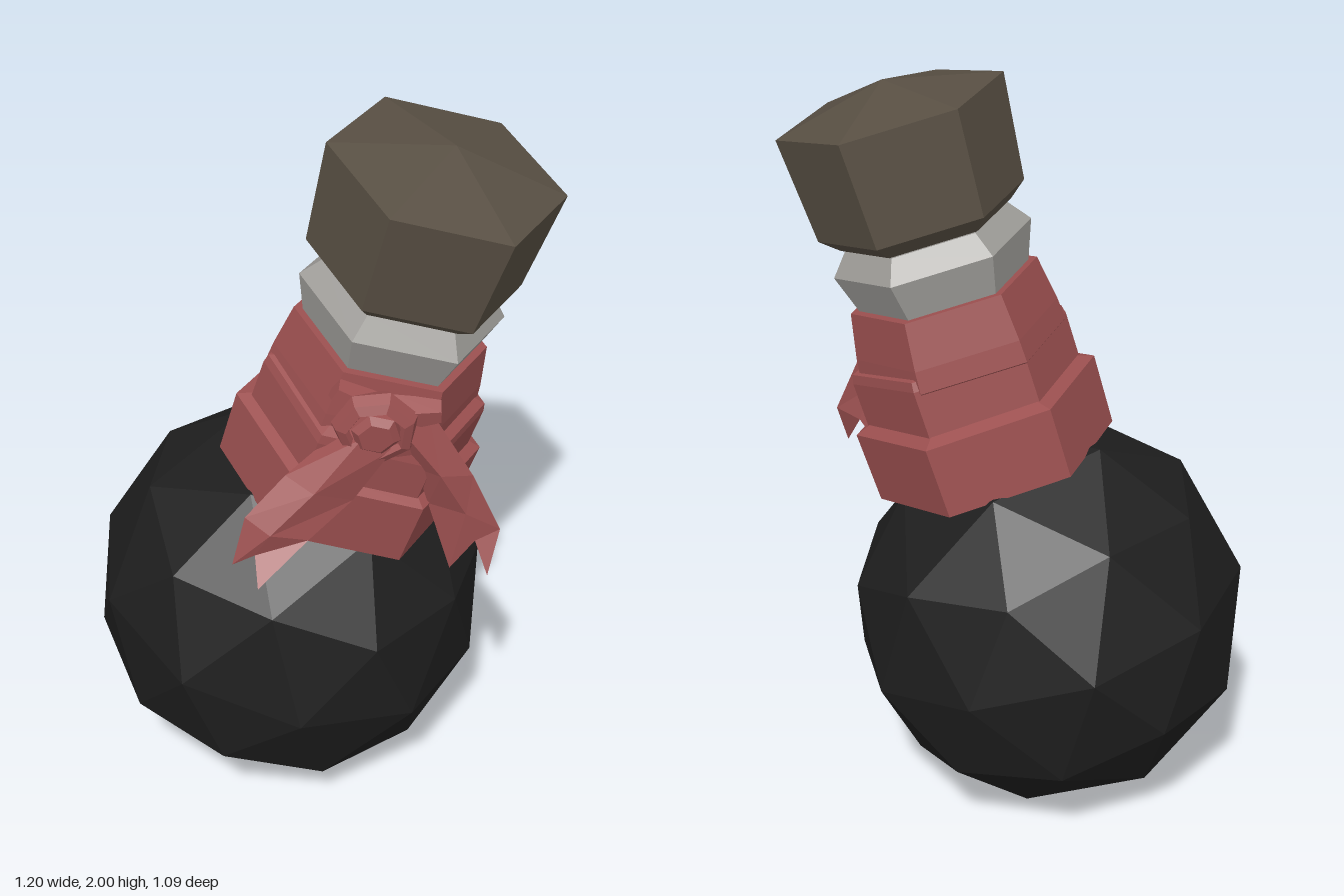
import * as THREE from 'three';

const flat = (name, color, side = THREE.FrontSide) => {
  const m = new THREE.MeshStandardMaterial({ color, flatShading: true, side });
  m.name = name;
  return m;
};

export function createModel() {
  const model = new THREE.Group();
  model.name = 'tiltedFlask';
  const black = flat('black', 0x1e1e1e);
  const red = flat('dusty red', 0x9c5050, THREE.DoubleSide);
  const glass = flat('grey glass', 0xa09e9a);
  const cork = flat('dark cork', 0x584f43);

  const up = new THREE.Vector3(0, 1, 0);
  const axis = new THREE.Vector3(0.27, 0.96, -0.04).normalize();
  const tilt = new THREE.Quaternion().setFromUnitVectors(up, axis);

  const add = (parent, name, geometry, material) => {
    const mesh = new THREE.Mesh(geometry, material);
    mesh.name = name;
    parent.add(mesh);
    return mesh;
  };
  // Turned part from [radius, height] pairs, listed bottom to top
  const turned = (points, sides = 6, start = THREE.MathUtils.degToRad(2)) =>
    new THREE.LatheGeometry(points.map(p => new THREE.Vector2(...p)), sides, start);

  // Faceted round body, one of its corners lying on the neck's axis
  const corner = new THREE.Vector3(1, (1 + Math.sqrt(5)) / 2, 0).normalize();
  const ball = new THREE.IcosahedronGeometry(0.543, 1);
  ball.applyQuaternion(new THREE.Quaternion().setFromUnitVectors(corner, up));
  const body = add(model, 'body', ball, black);
  body.quaternion.copy(tilt);
  body.position.set(-0.075, 0.523, 0);

  // Hexagonal neck, leaning with the tilt
  const neck = new THREE.Group();
  neck.name = 'neck';
  neck.position.set(0.078, 0.96, -0.015);
  neck.quaternion.copy(tilt);
  model.add(neck);

  add(neck, 'glassLip', turned([[0, 0.46], [0.22, 0.46], [0.23, 0.5], [0.268, 0.61],
    [0.22, 0.67], [0.22, 0.7], [0, 0.7]]), glass);
  add(neck, 'cork', turned([[0, 0.675], [0.23, 0.675], [0.278, 0.715], [0.302, 1.0], [0, 1.07]]), cork);

  // Cloth wound round the neck in three overlapping, slightly skewed bands
  const bands = [
    [[[0.22, -0.01], [0.33, -0.01], [0.335, 0.185], [0.28, 0.205]], 0, -0.03],
    [[[0.28, 0.16], [0.297, 0.17], [0.298, 0.32], [0.292, 0.345], [0.25, 0.36]], 0.03, -0.05],
    [[[0.26, 0.3], [0.283, 0.32], [0.277, 0.38], [0.255, 0.505], [0, 0.505]], 0, 0],
  ];
  bands.forEach(([profile, rx, rz], i) => {
    add(neck, 'clothBand' + (i + 1), turned(profile), red).rotation.set(rx, 0, rz);
  });

  // Faceted knot on the front-left face of the cloth
  const a = THREE.MathUtils.degToRad(58);
  const out = new THREE.Vector3(Math.cos(a), 0, Math.sin(a));
  const side = new THREE.Vector3(-Math.sin(a), 0, Math.cos(a));
  const knot = new THREE.Group();
  knot.name = 'knot';
  knot.position.copy(out).multiplyScalar(0.225).addScaledVector(side, 0.015).setY(0.395);
  knot.quaternion.setFromUnitVectors(up, out);
  neck.add(knot);
  add(knot, 'knotRing', turned([[0.085, 0], [0.112, 0.04], [0.1, 0.07], [0.075, 0.082],
    [0.066, 0.066]], 7), red);
  add(knot, 'knotCentre', turned([[0.07, 0.03], [0.064, 0.075], [0.045, 0.092], [0, 0.092]], 6), red);

  // Pinched cloth folds running into the knot from both sides
  for (const s of [-1, 1]) {
    const fold = add(neck, 'clothFold', new THREE.CylinderGeometry(0.03, 0.055, 0.13, 5), red);
    fold.position.copy(out).multiplyScalar(0.235).addScaledVector(side, s * 0.075).setY(0.44);
    fold.quaternion.setFromUnitVectors(up, side.clone().multiplyScalar(s).setY(0.3).normalize());
  }

  // Ribbon tail from rows of [left, middle, right] points; the last row is notched
  const ribbon = rows => {
    const index = [];
    for (let r = 0; r < rows.length - 1; r++) for (let c = 0; c < 2; c++) {
      const i = r * 3 + c;
      index.push(i, i + 3, i + 1, i + 1, i + 3, i + 4);
    }
    const g = new THREE.BufferGeometry();
    g.setAttribute('position', new THREE.Float32BufferAttribute(rows.flat(2), 3));
    g.setIndex(index);
    g.computeVertexNormals();
    return g;
  };
  add(model, 'frontTail', ribbon([
    [[0.24, 1.31, 0.21], [0.3, 1.3, 0.25], [0.36, 1.26, 0.2]],
    [[0.13, 1.18, 0.34], [0.22, 1.16, 0.35], [0.28, 1.11, 0.26]],
    [[0.065, 1.08, 0.43], [0.14, 1.05, 0.43], [0.21, 1.02, 0.36]],
    [[0.05, 0.95, 0.47], [0.1, 0.98, 0.44], [0.14, 0.92, 0.49]],
  ]), red);
  add(model, 'sideTail', ribbon([
    [[0.33, 1.25, 0.2], [0.38, 1.3, 0.18], [0.41, 1.36, 0.12]],
    [[0.39, 1.17, 0.13], [0.46, 1.17, 0.13], [0.52, 1.16, 0.07]],
    [[0.41, 1.05, 0.1], [0.51, 1.04, 0.08], [0.585, 0.99, 0.03]],
    [[0.47, 0.85, 0.08], [0.53, 0.95, 0.06], [0.58, 0.87, 0.08]],
  ]), red);

  return model;
}
